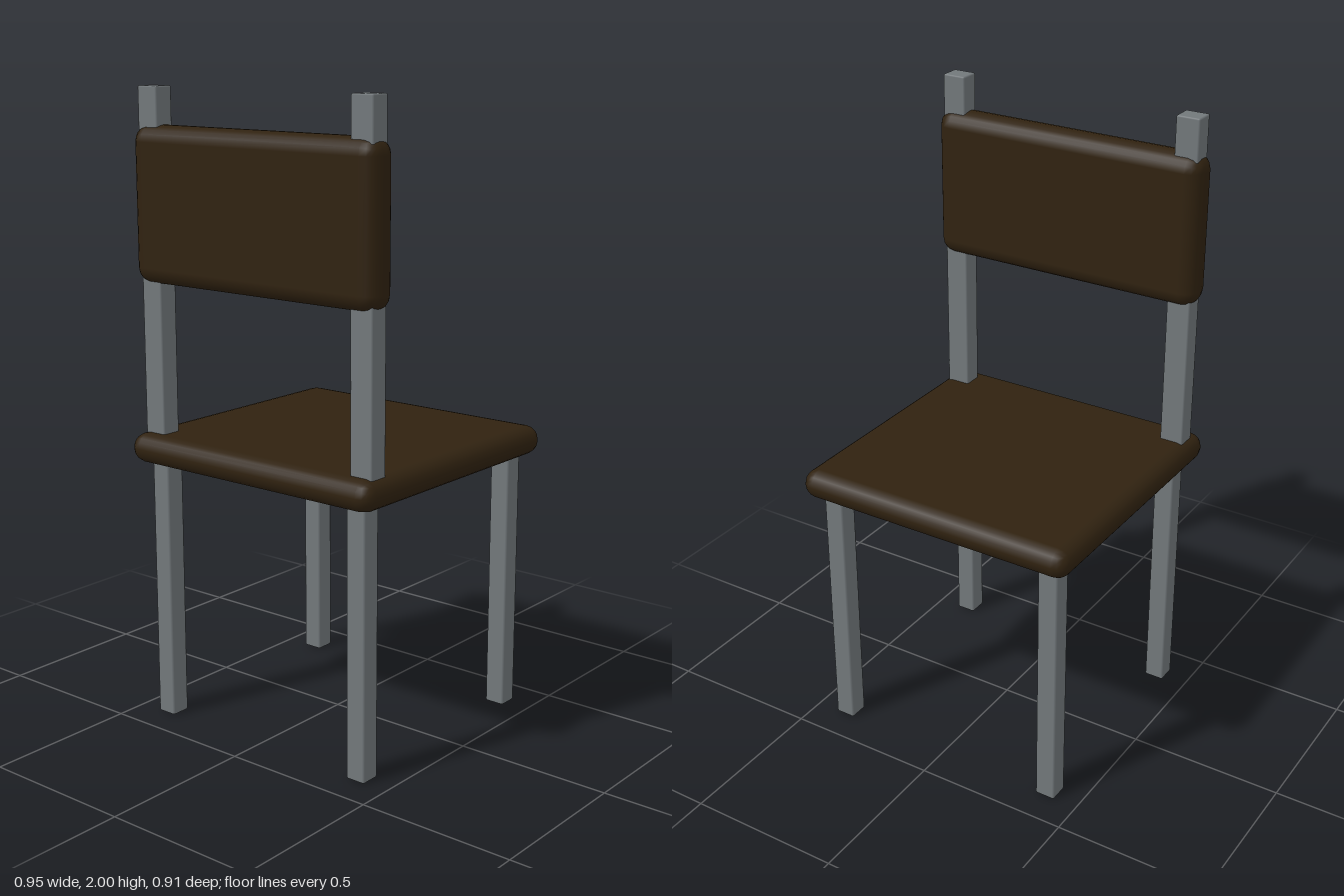
import * as THREE from 'three';
import { RoundedBoxGeometry } from 'three/addons/geometries/RoundedBoxGeometry.js';

export function createModel() {
  const chair = new THREE.Group();
  chair.name = 'chair';

  const upholstery = new THREE.MeshStandardMaterial({ color: 0x302210 });
  upholstery.name = 'dark brown padding';
  const metal = new THREE.MeshStandardMaterial({ color: 0x72787b });
  metal.name = 'grey metal';

  // Rounded block given by its size and centre
  function block(name, size, centre, radius, segments, material) {
    const mesh = new THREE.Mesh(new RoundedBoxGeometry(...size, segments, radius), material);
    mesh.name = name;
    mesh.position.set(...centre);
    chair.add(mesh);
  }

  // Padded seat and backrest
  block('seat', [0.95, 0.094, 0.912], [0, 0.888, 0], 0.046, 2, upholstery);
  block('backrest', [0.93, 0.48, 0.115], [0, 1.645, 0.368], 0.05, 2, upholstery);

  // Square legs and the posts carrying the backrest
  for (const [side, s] of [['left', 1], ['right', -1]]) {
    block(`${side}FrontLeg`, [0.066, 0.88, 0.066], [s * 0.39, 0.44, -0.368], 0.006, 1, metal);
    block(`${side}BackLeg`, [0.066, 0.88, 0.066], [s * 0.39, 0.44, 0.368], 0.006, 1, metal);
    block(`${side}BackPost`, [0.078, 1.12, 0.066], [s * 0.408, 1.44, 0.368], 0.005, 1, metal);
  }

  return chair;
}
